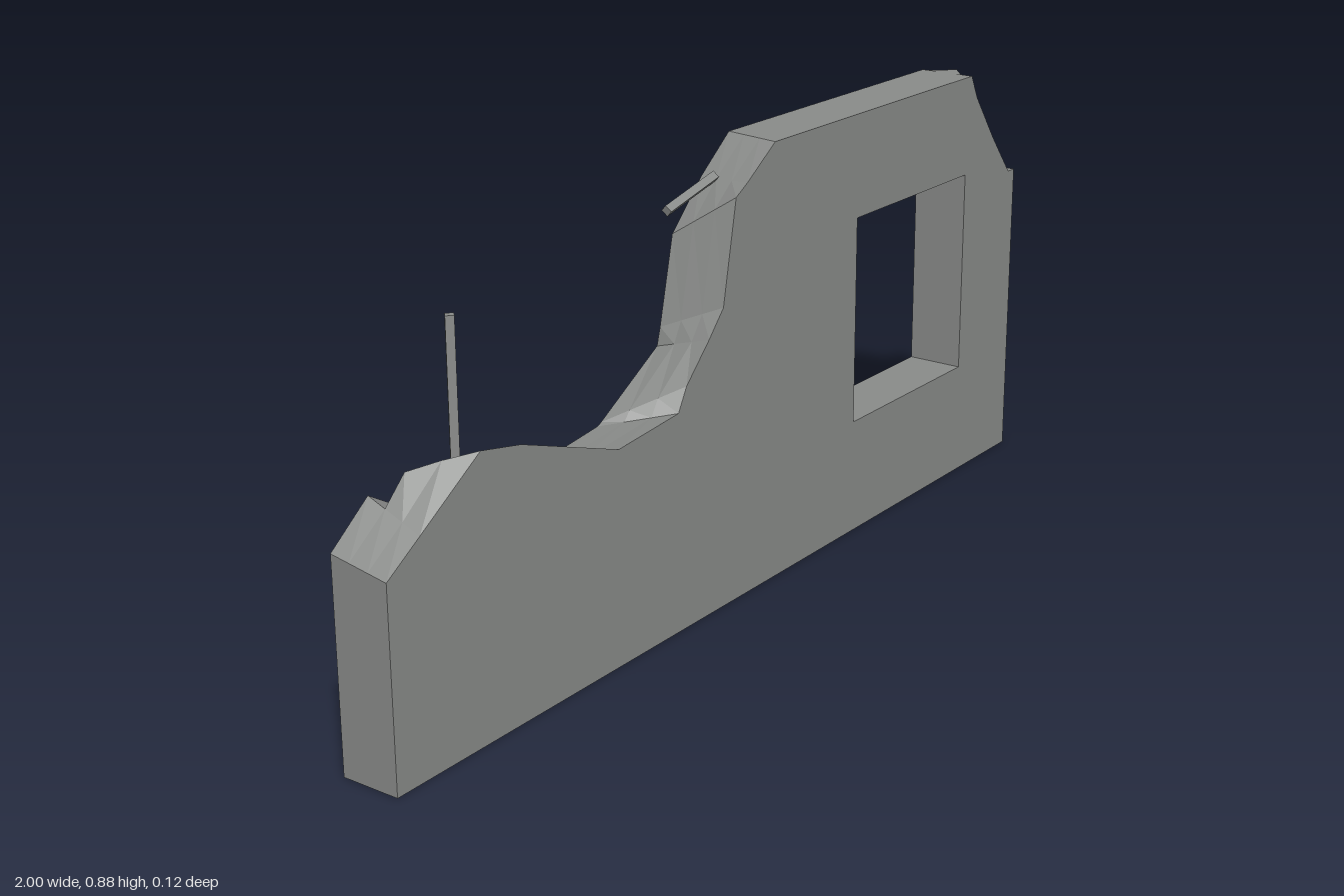
import * as THREE from 'three';

const D = 0.06; // half the wall thickness
const WINDOW = [[0.36, 0.24], [0.785, 0.24], [0.785, 0.67], [0.36, 0.67]];

// Broken top edge, left to right: front [x, y], back [x, y], optional inner points [x, y, z]
const STATIONS = [
  { f: [-1, 0.38], b: [-1, 0.40] },
  { f: [-0.92, 0.432], b: [-0.91, 0.47] },
  { f: [-0.77, 0.53], b: [-0.86, 0.44], m1: [-0.82, 0.52, 0.02], m2: [-0.865, 0.505, -0.02] },
  { f: [-0.67, 0.51], b: [-0.78, 0.41] },
  { f: [-0.41, 0.42], b: [-0.665, 0.37] },
  { f: [-0.235, 0.435], b: [-0.32, 0.41] },
  { f: [-0.21, 0.48], b: [-0.31, 0.415] },
  { f: [-0.14, 0.55], b: [-0.14, 0.515] },
  { f: [-0.095, 0.60], b: [-0.13, 0.55] },
  { f: [-0.055, 0.80], b: [-0.09, 0.72] },
  { f: [-0.02, 0.82], b: [0, 0.81] },
  { f: [0.07, 0.88], b: [0.09, 0.88] },
  { f: [0.80, 0.88], b: [0.80, 0.88] },
  { f: [0.825, 0.83], b: [0.805, 0.878], m1: [0.81, 0.875, 0.03], m2: [0.84, 0.88, 0] },
  { f: [0.90, 0.73], b: [0.89, 0.80], m1: [0.91, 0.77, 0.03], m2: [0.93, 0.755, 0.005] },
  { f: [0.975, 0.64], b: [0.944, 0.68], m1: [0.98, 0.66, 0.035], m2: [0.955, 0.74, 0] },
  { f: [1, 0.64], b: [1, 0.665], m1: [1, 0.64, 0.035], m2: [1, 0.71, -0.02] },
];

// Flat-shaded geometry from convex polygons, each fanned into triangles
function polygons(list) {
  const pos = [];
  for (const p of list)
    for (let i = 1; i < p.length - 1; i++) pos.push(...p[0], ...p[i], ...p[i + 1]);
  const geo = new THREE.BufferGeometry();
  geo.setAttribute('position', new THREE.Float32BufferAttribute(pos, 3));
  geo.computeVertexNormals();
  return geo;
}

// Wall face with the window cut out; side is +1 for front, -1 for back
function faceGeometry(edge, side) {
  const toV = ([x, y]) => new THREE.Vector2(x * side, y);
  const shape = new THREE.Shape([[-1, 0], [1, 0], ...[...edge].reverse()].map(toV));
  shape.holes.push(new THREE.Path(WINDOW.map(toV)));
  const geo = new THREE.ShapeGeometry(shape);
  geo.translate(0, 0, D);
  if (side < 0) geo.rotateY(Math.PI);
  return geo;
}

// Four-sided bar between two points
function barGeometry(a, b, radius) {
  const from = new THREE.Vector3(...a), to = new THREE.Vector3(...b);
  const dir = to.clone().sub(from);
  const geo = new THREE.CylinderGeometry(radius, radius, dir.length(), 4);
  const q = new THREE.Quaternion().setFromUnitVectors(new THREE.Vector3(0, 1, 0), dir.normalize());
  geo.applyQuaternion(q);
  const mid = from.add(to).multiplyScalar(0.5);
  geo.translate(mid.x, mid.y, mid.z);
  return geo;
}

export function createModel() {
  const model = new THREE.Group();
  model.name = 'brokenWall';
  const concrete = new THREE.MeshStandardMaterial({ color: 0x8a8c8a, flatShading: true });
  concrete.name = 'concreteGrey';
  const add = (name, geo) => {
    const mesh = new THREE.Mesh(geo, concrete);
    mesh.name = name;
    model.add(mesh);
  };

  // Front and back faces
  add('frontFace', faceGeometry(STATIONS.map(s => s.f), 1));
  add('backFace', faceGeometry(STATIONS.map(s => s.b), -1));

  // Broken top, four points across the thickness at each station
  const rows = STATIONS.map(({ f, b, m1, m2 }) => {
    const front = [...f, D], back = [...b, -D];
    const mix = t => front.map((v, i) => v + (back[i] - v) * t);
    return [front, m1 ?? mix(1 / 3), m2 ?? mix(2 / 3), back];
  });
  const top = [];
  for (let i = 0; i < rows.length - 1; i++)
    for (let j = 0; j < 3; j++)
      top.push([rows[i][j], rows[i + 1][j], rows[i + 1][j + 1], rows[i][j + 1]]);
  add('brokenTop', polygons(top));

  // Ends and underside
  const last = rows[rows.length - 1];
  add('rightEnd', polygons([[[-1, 0, -D], [-1, 0, D], ...rows[0]]]));
  add('leftEnd', polygons([[[1, 0, D], [1, 0, -D], ...[...last].reverse()]]));
  add('underside', polygons([[[-1, 0, -D], [1, 0, -D], [1, 0, D], [-1, 0, D]]]));

  // Window reveal
  add('windowReveal', polygons(WINDOW.map((a, i) => {
    const b = WINDOW[(i + 1) % 4];
    return [[...a, D], [...b, D], [...b, -D], [...a, -D]];
  })));

  // Exposed reinforcing bars
  add('uprightBar', barGeometry([-0.755, 0.42, -0.01], [-0.755, 0.745, -0.01], 0.011));
  add('slantedBar', barGeometry([-0.16, 0.785, -0.02], [-0.01, 0.819, -0.022], 0.011));

  return model;
}
